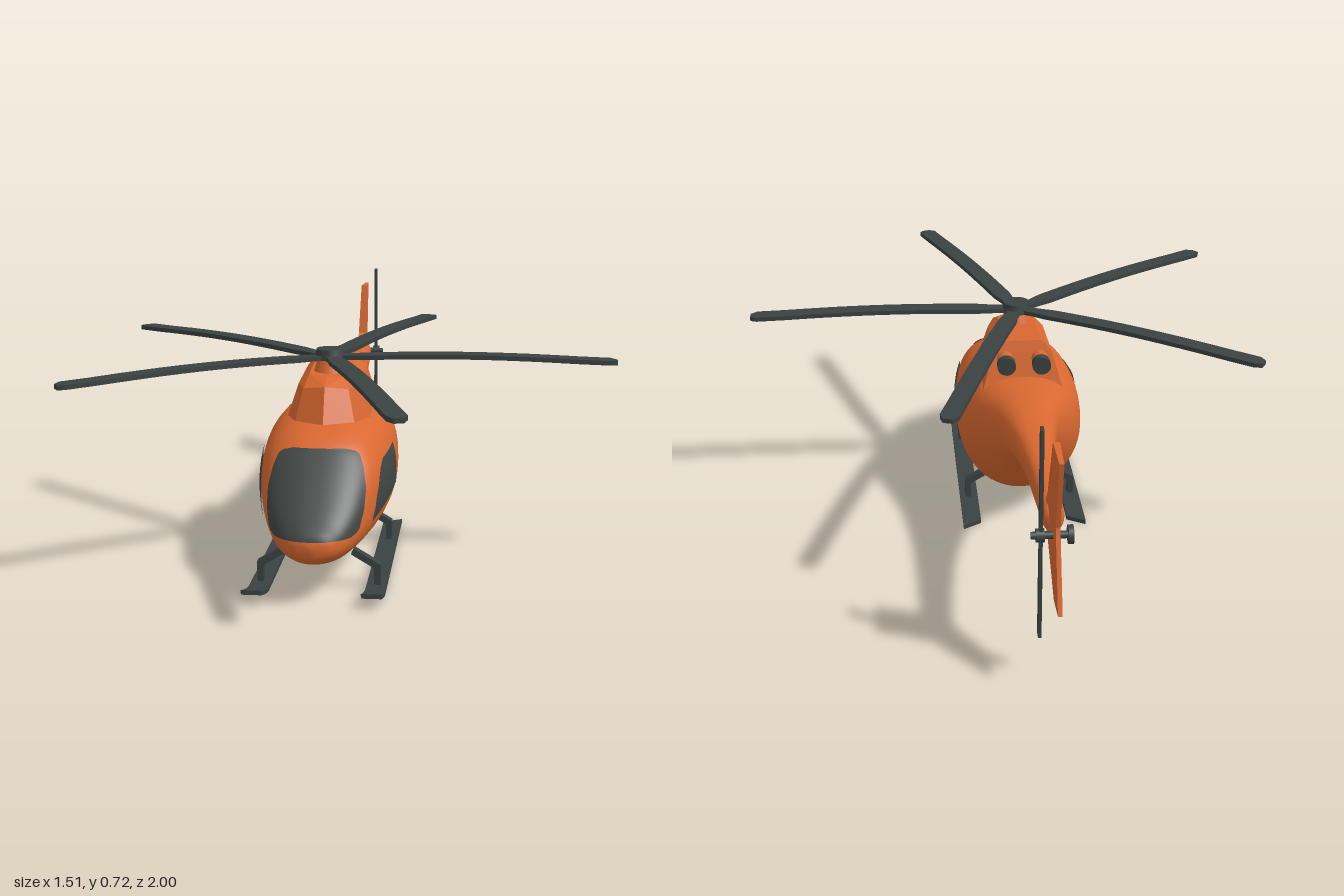
import * as THREE from 'three';
import { mergeVertices } from 'three/addons/utils/BufferGeometryUtils.js';
import { ConvexGeometry } from 'three/addons/geometries/ConvexGeometry.js';

const CX = -0.077; // centre line of the aircraft

// hull stations: z, top, bottom, half width
const STATIONS = [
  [0.692, 0.175, 0.165, 0.004], [0.685, 0.195, 0.14, 0.04], [0.67, 0.212, 0.125, 0.067],
  [0.65, 0.235, 0.115, 0.088], [0.6, 0.283, 0.1, 0.118], [0.52, 0.362, 0.085, 0.149],
  [0.46, 0.41, 0.075, 0.165], [0.38, 0.438, 0.065, 0.18], [0.28, 0.455, 0.056, 0.191],
  [0.17, 0.465, 0.05, 0.196], [0.05, 0.465, 0.06, 0.19], [0, 0.465, 0.078, 0.18],
  [-0.075, 0.465, 0.14, 0.152], [-0.15, 0.465, 0.215, 0.115], [-0.25, 0.463, 0.296, 0.082],
  [-0.47, 0.461, 0.355, 0.048], [-0.79, 0.465, 0.385, 0.03], [-0.825, 0.457, 0.39, 0.026],
  [-0.84, 0.43, 0.415, 0.004],
];

// smooth interpolation between stations
function section(z) {
  let i = 0;
  while (i < STATIONS.length - 2 && z < STATIONS[i + 1][0]) i++;
  const a = STATIONS[i], b = STATIONS[i + 1];
  const p = STATIONS[Math.max(i - 1, 0)], q = STATIONS[Math.min(i + 2, STATIONS.length - 1)];
  const h = b[0] - a[0], t = THREE.MathUtils.clamp((z - a[0]) / h, 0, 1);
  const [top, bottom, half] = [1, 2, 3].map((k) => {
    const ma = (b[k] - p[k]) / (b[0] - p[0]) * h, mb = (q[k] - a[k]) / (q[0] - a[0]) * h;
    return (2 * t ** 3 - 3 * t * t + 1) * a[k] + (t ** 3 - 2 * t * t + t) * ma
      + (3 * t * t - 2 * t ** 3) * b[k] + (t ** 3 - t * t) * mb;
  });
  return { top, bottom, half, mid: bottom + (top - bottom) * 0.53 };
}

// half width of the hull at a given height, grown by a small margin
function widthAt(z, y, grow) {
  const s = section(z), up = y > s.mid;
  const k = Math.abs(y - s.mid) / ((up ? s.top - s.mid : s.mid - s.bottom) + grow);
  if (k >= 1) return 0;
  const n = up ? 2.5 : 2;
  return (s.half + grow) * (1 - k ** n) ** (1 / n);
}

// piecewise linear lookup in [key, value] pairs
function lookup(rows, x) {
  let i = 0;
  while (i < rows.length - 2 && x > rows[i + 1][0]) i++;
  const [a, b] = [rows[i], rows[i + 1]];
  return THREE.MathUtils.mapLinear(x, a[0], b[0], a[1], b[1]);
}

// surface from a function of u and v
function grid(fn, nu, nv) {
  const pos = [], index = [];
  for (let i = 0; i <= nu; i++) for (let j = 0; j <= nv; j++) pos.push(...fn(i / nu, j / nv));
  for (let i = 0; i < nu; i++) for (let j = 0; j < nv; j++) {
    const a = i * (nv + 1) + j, b = a + nv + 1;
    index.push(a, b, a + 1, b, b + 1, a + 1);
  }
  let g = new THREE.BufferGeometry();
  g.setAttribute('position', new THREE.Float32BufferAttribute(pos, 3));
  g.setIndex(index);
  g = mergeVertices(g, 1e-5);
  g.computeVertexNormals();
  return g;
}

// change every vertex by a rule
function reshape(g, rule) {
  const p = g.attributes.position, v = new THREE.Vector3();
  for (let i = 0; i < p.count; i++) {
    rule(v.fromBufferAttribute(p, i));
    p.setXYZ(i, v.x, v.y, v.z);
  }
  g.computeVertexNormals();
  return g;
}

export function createModel() {
  const orange = new THREE.MeshStandardMaterial({ color: 0xd96830 });
  orange.name = 'orange paint';
  const dark = new THREE.MeshStandardMaterial({ color: 0x3a4242 });
  dark.name = 'dark grey';
  const glass = new THREE.MeshStandardMaterial({ color: 0x404645, side: THREE.DoubleSide });
  glass.name = 'tinted glass';

  const model = new THREE.Group();
  model.name = 'helicopter';
  const craft = new THREE.Group();
  craft.name = 'airframe';
  craft.position.x = CX;
  model.add(craft);
  const add = (name, g, m, x = 0, y = 0, z = 0, parent = craft) => {
    const mesh = new THREE.Mesh(g, m);
    mesh.name = name;
    mesh.position.set(x, y, z);
    parent.add(mesh);
    return mesh;
  };

  // fuselage and tail boom
  add('fuselage', grid((u, v) => {
    const z = 0.692 - 1.532 * (u < 0.9 ? 0.95 * (u / 0.9) ** 1.6 : 0.95 + (u - 0.9) / 2);
    const s = section(z), a = (v === 1 ? 0 : v) * Math.PI * 2;
    const c = Math.cos(a), n = Math.sin(a), e = n > 0 ? 0.8 : 1;
    const r = n > 0 ? s.top - s.mid : s.mid - s.bottom;
    const closed = u === 0 || u === 1 ? 0 : 1;
    return [closed * s.half * Math.sign(c) * Math.abs(c) ** e,
      s.mid + closed * r * Math.sign(n) * Math.abs(n) ** e, z];
  }, 110, 48), orange);

  // windshield, laid on the nose
  const shieldRows = [[0.19, 0.105], [0.2, 0.123], [0.25, 0.134], [0.3, 0.136], [0.35, 0.126],
    [0.38, 0.114], [0.39, 0.1], [0.397, 0.07]];
  add('windshield', grid((u, v) => {
    const y = 0.19 + 0.207 * v, x = (u * 2 - 1) * lookup(shieldRows, y);
    let near = 0.3, far = 0.692;
    for (let i = 0; i < 24; i++) {
      const z = (near + far) / 2;
      if (widthAt(z, y, 0.004) > Math.abs(x)) near = z; else far = z;
    }
    return [x, y, near + 0.003];
  }, 28, 28), glass);

  // side windows
  const lower = [[0.24, 0.24], [0.515, 0.2]];
  const upper = [[0.24, 0.36], [0.39, 0.35], [0.425, 0.335], [0.45, 0.315], [0.49, 0.265], [0.515, 0.21]];
  for (const side of [1, -1]) {
    add(side > 0 ? 'leftWindow' : 'rightWindow', grid((u, v) => {
      const z = 0.24 + 0.275 * (side > 0 ? 1 - u : u);
      const y = THREE.MathUtils.lerp(lookup(lower, z), lookup(upper, z), v);
      return [side * widthAt(z, y, 0.005), y, z];
    }, 22, 8), glass);
  }

  // engine cowling
  const cowl = [[0, 0.44, 0.39], [0, 0.54, 0.345], [0, 0.557, 0.29]];
  for (const s of [1, -1]) {
    cowl.push([s * 0.122, 0.43, -0.025], [s * 0.122, 0.43, 0.24], [s * 0.085, 0.44, 0.345],
      [s * 0.09, 0.54, 0.005], [s * 0.088, 0.53, 0.24], [s * 0.065, 0.53, 0.315],
      [s * 0.06, 0.573, 0.015], [s * 0.055, 0.561, 0.25]);
  }
  add('engineCowling', new ConvexGeometry(cowl.map((p) => new THREE.Vector3(...p))), orange);

  // exhausts
  for (const x of [-0.053, 0.053]) {
    add('exhaustPipe', new THREE.CylinderGeometry(0.025, 0.025, 0.07, 20), orange, x, 0.52, -0.005).rotation.x = Math.PI / 2;
    add('exhaustTip', new THREE.CylinderGeometry(0.028, 0.028, 0.027, 20), dark, x, 0.52, -0.05).rotation.x = Math.PI / 2;
  }

  // main rotor
  const rotor = new THREE.Group();
  rotor.name = 'mainRotor';
  rotor.position.z = 0.205;
  craft.add(rotor);
  add('mastFairing', new THREE.CylinderGeometry(0.034, 0.052, 0.05, 24), orange, 0, 0.575, 0, rotor);
  add('rotorHub', new THREE.CylinderGeometry(0.04, 0.046, 0.03, 24), dark, 0, 0.612, 0, rotor);
  const blade = reshape(new THREE.BoxGeometry(0.81, 0.013, 0.054, 16, 1, 1), (v) => {
    const end = v.x > 0.4, r = v.x + 0.425;
    v.z *= end ? 0.5 : r < 0.1 ? 0.75 : 1;
    v.x = !end && r > 0.77 ? 0.81 : r;
    v.y += 0.601 + 0.011 * Math.sin(Math.PI * r / 0.8);
  });
  for (let i = 0; i < 5; i++) add('rotorBlade', blade, dark, 0, 0, 0, rotor).rotation.y = i * Math.PI * 0.4;

  // tail fin, thinner towards its ends
  const fin = new THREE.Shape([[-0.78, 0.462], [-0.815, 0.5], [-0.857, 0.664], [-0.97, 0.66], [-0.922, 0.455],
    [-1, 0.245], [-0.912, 0.238], [-0.835, 0.375], [-0.79, 0.39]].map(([z, y]) => new THREE.Vector2(-z, y)));
  const finGeometry = new THREE.ExtrudeGeometry(fin, { depth: 0.03, bevelEnabled: false });
  finGeometry.translate(0, 0, -0.015).rotateY(Math.PI / 2);
  reshape(finGeometry, (v) => {
    v.x *= v.z < -0.9 ? 0.4 : v.y > 0.6 ? 0.6 : 1;
  });
  add('tailFin', finGeometry, orange);

  // tail rotor
  const tail = new THREE.Group();
  tail.name = 'tailRotor';
  tail.position.set(0, 0.42, -0.892);
  craft.add(tail);
  for (const [name, radius, length, x] of [['tailShaft', 0.01, 0.11, 0.01], ['gearCap', 0.025, 0.014, -0.036],
    ['tailHub', 0.018, 0.022, 0.042]]) {
    add(name, new THREE.CylinderGeometry(radius, radius, length, 16), dark, x, 0, 0, tail).rotation.z = Math.PI / 2;
  }
  add('tailBlades', reshape(new THREE.BoxGeometry(0.009, 0.6, 0.026, 1, 8, 1), (v) => {
    if (Math.abs(v.y) < 0.05) v.z *= 0.6;
  }), dark, 0.04, 0, 0, tail);

  // landing gear
  const beam = (name, a, b, parent) => {
    const p = new THREE.Vector3(...a), q = new THREE.Vector3(...b);
    const mesh = add(name, new THREE.BoxGeometry(0.018, p.distanceTo(q) + 0.01, 0.027), dark, 0, 0, 0, parent);
    mesh.position.copy(p).add(q).multiplyScalar(0.5);
    mesh.quaternion.setFromUnitVectors(new THREE.Vector3(0, 1, 0), q.sub(p).normalize());
  };
  for (const s of [1, -1]) {
    const gear = new THREE.Group();
    gear.name = s > 0 ? 'leftLandingGear' : 'rightLandingGear';
    craft.add(gear);
    add('skid', reshape(new THREE.BoxGeometry(0.056, 0.013, 0.8, 1, 1, 20), (v) => {
      if (v.z < -0.39 && v.x * s < 0) v.z += 0.035;
      v.z += 0.278;
      v.y += 0.0065 + 0.033 * Math.max(0, (v.z - 0.55) / 0.128) ** 1.3;
    }), dark, s * 0.163, 0, 0, gear);
    for (const z of [0.495, 0.078]) {
      beam('strutLower', [s * 0.165, 0.01, z], [s * 0.165, 0.066, z], gear);
      beam('strutUpper', [s * 0.165, 0.066, z], [s * 0.1, 0.105, z], gear);
    }
  }
  return model;
}
